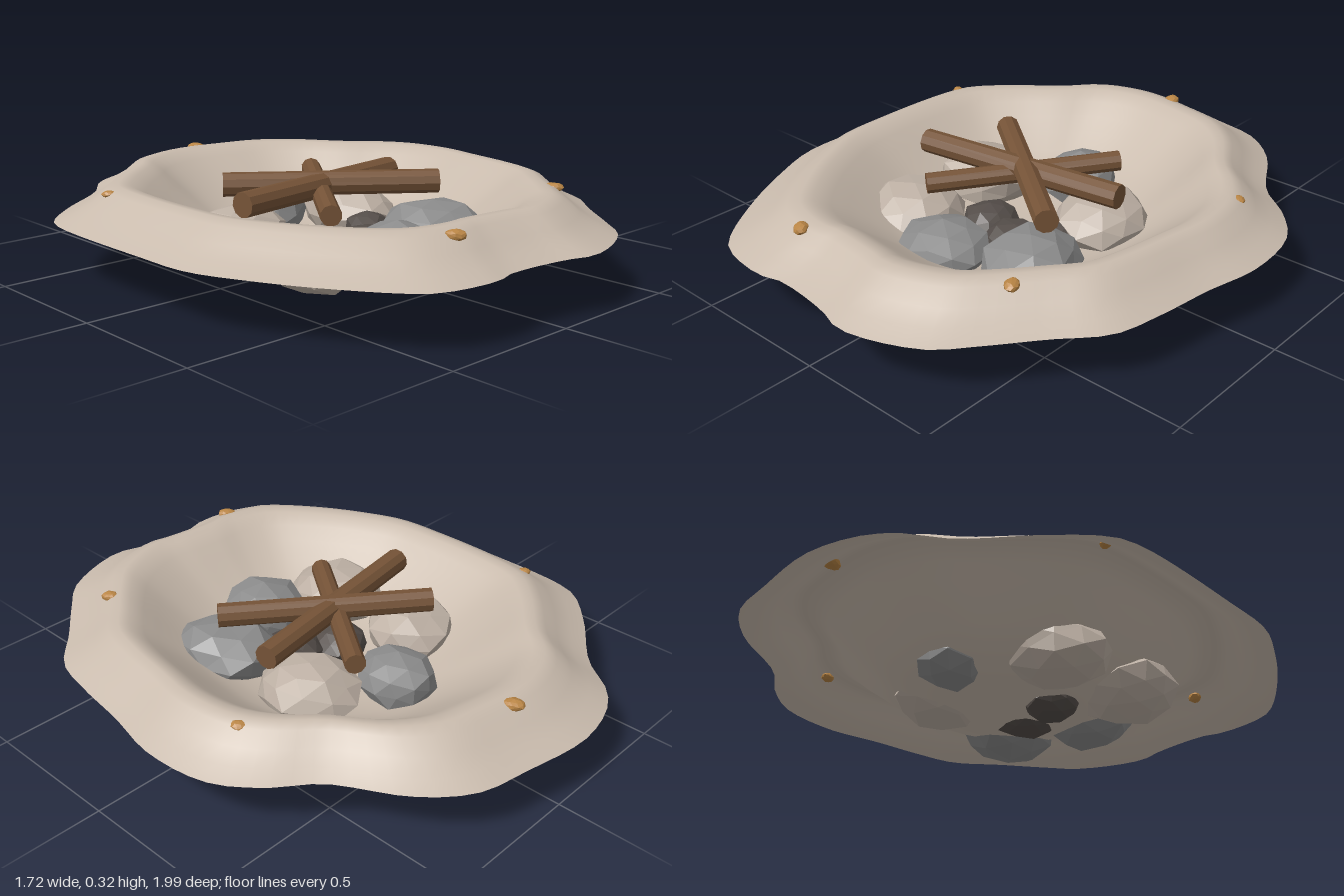
import * as THREE from 'three';

const mat = (name, color, extra = {}) => {
  const m = new THREE.MeshStandardMaterial({ color, ...extra });
  m.name = name;
  return m;
};

// Sandy pit: rings scaled from an irregular outline, raised into a rim and sunk into a bowl
function pitGeometry() {
  const outline = [
    [-0.11, -1], [0.15, -0.96], [0.32, -0.92], [0.46, -0.8], [0.6, -0.57], [0.73, -0.46],
    [0.83, -0.32], [0.86, -0.09], [0.82, 0.12], [0.79, 0.33], [0.75, 0.49], [0.63, 0.63],
    [0.51, 0.78], [0.4, 0.9], [0.15, 0.99], [0.03, 0.96], [-0.19, 0.94], [-0.27, 0.96],
    [-0.46, 0.93], [-0.53, 0.88], [-0.68, 0.67], [-0.78, 0.48], [-0.85, 0.3], [-0.86, 0.08],
    [-0.85, -0.39], [-0.82, -0.48], [-0.69, -0.61], [-0.48, -0.77], [-0.38, -0.9], [-0.29, -0.96],
  ].map(([x, z]) => new THREE.Vector3(x, 0, z));
  // [fraction of the outline, height]
  const profile = [
    [1, 0.2], [0.94, 0.225], [0.88, 0.26], [0.83, 0.3], [0.79, 0.314], [0.75, 0.31], [0.7, 0.28],
    [0.65, 0.24], [0.59, 0.2], [0.52, 0.15], [0.45, 0.113], [0.36, 0.078], [0.25, 0.056], [0.12, 0.047], [0, 0.045],
  ];
  const N = 96;
  const pts = new THREE.CatmullRomCurve3(outline, true).getSpacedPoints(N).slice(0, N);
  const pos = [], index = [];
  profile.forEach(([f, y], r) => {
    const smooth = Math.min(1, (1 - f) * 1.3);
    pts.forEach((p, i) => {
      // inner rings relax towards an oval
      const a = Math.atan2(p.z / 0.96, p.x / 0.84);
      const x = THREE.MathUtils.lerp(p.x, 0.84 * Math.cos(a), smooth);
      const z = THREE.MathUtils.lerp(p.z, 0.96 * Math.sin(a), smooth);
      pos.push(x * f, y, z * f);
      if (r === profile.length - 1) return;
      const j = (i + 1) % N, o = r * N, n = o + N;
      index.push(o + i, n + i, o + j);
      if (r < profile.length - 2) index.push(o + j, n + i, n + j);
    });
  });
  const g = new THREE.BufferGeometry();
  g.setAttribute('position', new THREE.Float32BufferAttribute(pos, 3));
  g.setIndex(index);
  g.computeVertexNormals();
  return g;
}

// Faceted stone, gently lumpy, with a different shape for each seed
function stoneGeometry(seed, rx, ry, rz) {
  const g = new THREE.IcosahedronGeometry(1, 1);
  const p = g.attributes.position, v = new THREE.Vector3();
  for (let i = 0; i < p.count; i++) {
    v.fromBufferAttribute(p, i);
    const k = 1 + 0.06 * Math.sin(v.x * 4.1 + v.y * 5.3 + v.z * 3.7 + seed * 2.3);
    p.setXYZ(i, v.x * rx * k, v.y * ry * k, v.z * rz * k);
  }
  g.rotateY(seed * 0.1);
  g.computeVertexNormals();
  return g;
}

export function createModel() {
  const model = new THREE.Group();
  model.name = 'firePit';
  const sand = mat('sand', 0xc9bbad, { side: THREE.DoubleSide });
  const grey = mat('grey stone', 0x8b8b8b, { flatShading: true });
  const pale = mat('pale stone', 0xbdb0a4, { flatShading: true });
  const dark = mat('charred stone', 0x544d49, { flatShading: true });
  const wood = mat('wood', 0x755337, { flatShading: true });
  const tan = mat('tan pebble', 0xb98545, { flatShading: true });

  const add = (name, geometry, material, x = 0, y = 0, z = 0) => {
    const mesh = new THREE.Mesh(geometry, material);
    mesh.name = name;
    mesh.position.set(x, y, z);
    model.add(mesh);
    return mesh;
  };

  add('sandPit', pitGeometry(), sand);

  // Ring of stones and charred stones in the middle: material, centre, radii
  [
    ['ringStone', grey, -0.03, 0.14, -0.31, 0.13, 0.1, 0.14],
    ['ringStone', pale, 0.21, 0.13, -0.13, 0.16, 0.105, 0.18],
    ['ringStone', grey, 0.23, 0.125, 0.26, 0.165, 0.11, 0.185],
    ['ringStone', grey, -0.06, 0.125, 0.37, 0.16, 0.1, 0.15],
    ['ringStone', pale, -0.32, 0.125, 0.25, 0.175, 0.11, 0.175],
    ['ringStone', pale, -0.32, 0.13, -0.12, 0.18, 0.11, 0.16],
    ['charredStone', dark, -0.14, 0.07, 0.06, 0.1, 0.067, 0.1],
    ['charredStone', dark, 0.04, 0.085, 0.13, 0.11, 0.066, 0.11],
    ['charredStone', dark, 0.14, 0.11, 0.03, 0.09, 0.055, 0.08],
  ].forEach(([name, m, x, y, z, rx, ry, rz], i) =>
    add(name, stoneGeometry(i + 1, rx, ry, rz), m, x, y, z));

  // Crossed logs: two ends and a radius
  [
    [[-0.45, 0.288, 0.06], [0.34, 0.282, -0.06], 0.043],
    [[-0.31, 0.29, -0.22], [0.28, 0.29, 0.24], 0.042],
    [[0.16, 0.275, -0.29], [-0.25, 0.255, 0.26], 0.036],
  ].forEach(([a, b, r]) => {
    const from = new THREE.Vector3(...a), to = new THREE.Vector3(...b);
    const axis = to.clone().sub(from);
    const log = add('log', new THREE.CylinderGeometry(r, r, axis.length(), 10), wood);
    log.position.copy(from).add(to).multiplyScalar(0.5);
    log.quaternion.setFromUnitVectors(new THREE.Vector3(0, 1, 0), axis.normalize());
  });

  // Small pebbles scattered on the rim
  [
    [0.015, 0.3, -0.81, 0.036], [0.66, 0.295, -0.28, 0.03], [0.46, 0.297, 0.6, 0.033],
    [-0.26, 0.297, 0.79, 0.034], [-0.69, 0.295, -0.34, 0.025], [-0.15, 0.1, -0.28, 0.035],
  ].forEach(([x, y, z, r], i) =>
    add('pebble', stoneGeometry(i + 20, r, r * 0.5, r * 0.75), tan, x, y, z));

  return model;
}
